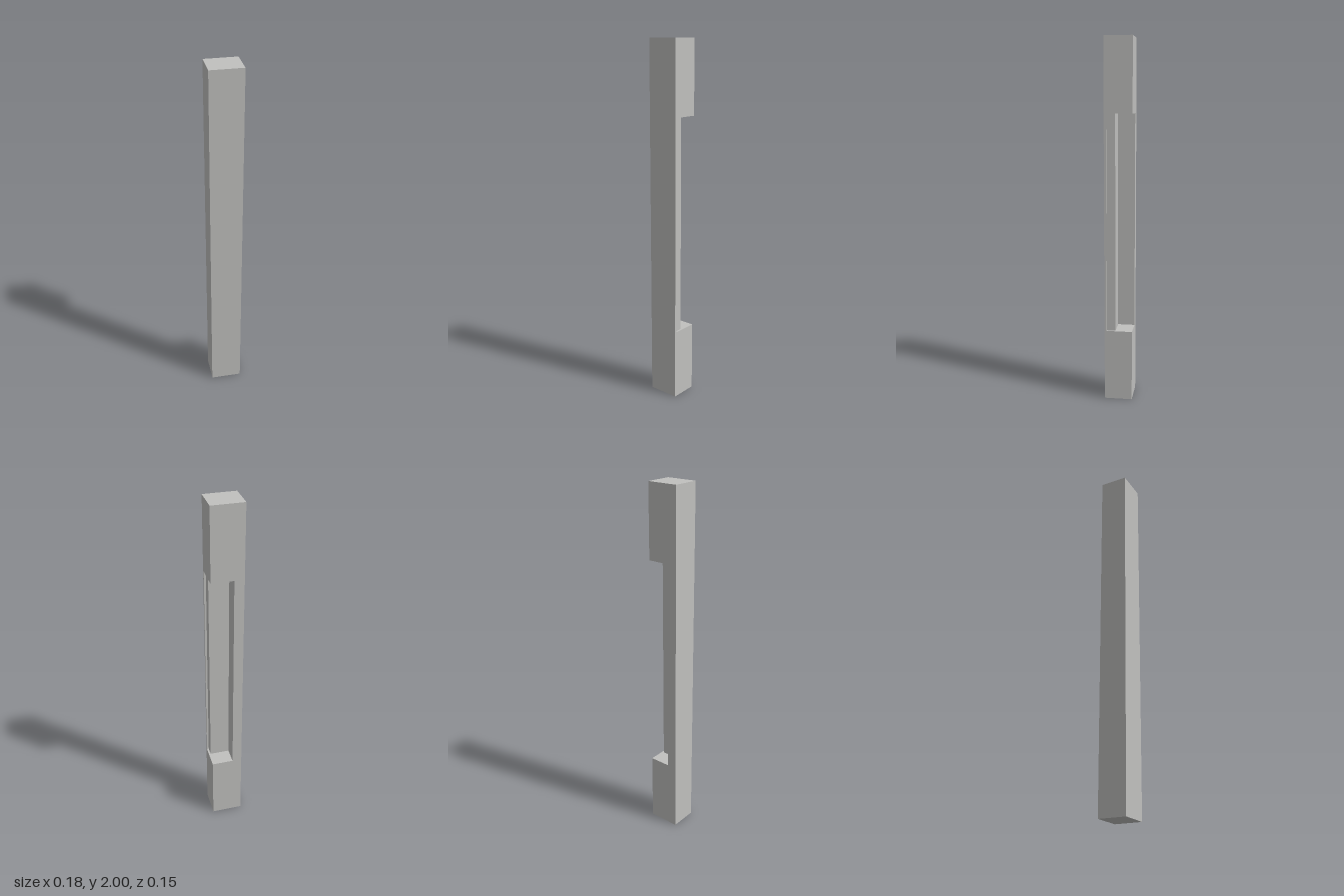
import * as THREE from 'three';

const W = 0.176, D = 0.154, H = 2, END = 0.4;

export function createModel() {
  const group = new THREE.Group();
  const grey = new THREE.MeshStandardMaterial({ color: 0xc0c0be });
  grey.name = 'light grey';

  const add = (name, geometry, y) => {
    const mesh = new THREE.Mesh(geometry, grey);
    mesh.name = name;
    mesh.position.y = y;
    group.add(mesh);
  };

  // solid blocks at both ends
  add('bottomBlock', new THREE.BoxGeometry(W, END, D), END / 2);
  add('topBlock', new THREE.BoxGeometry(W, END, D), H - END / 2);

  // middle section: front skin, stepped core and side wall, open at the back corner
  const x = W / 2, z = D / 2;
  const profile = [
    [-x, z], [x, z], [x, 0.065], [0.077, 0.065],
    [0.077, 0.017], [-0.034, 0.017], [-0.034, -z], [-x, -z],
  ];
  const shape = new THREE.Shape(profile.map(([px, pz]) => new THREE.Vector2(px, -pz)));
  const shaft = new THREE.ExtrudeGeometry(shape, { depth: H - 2 * END, bevelEnabled: false });
  shaft.rotateX(-Math.PI / 2);
  add('notchedShaft', shaft, END);

  return group;
}
